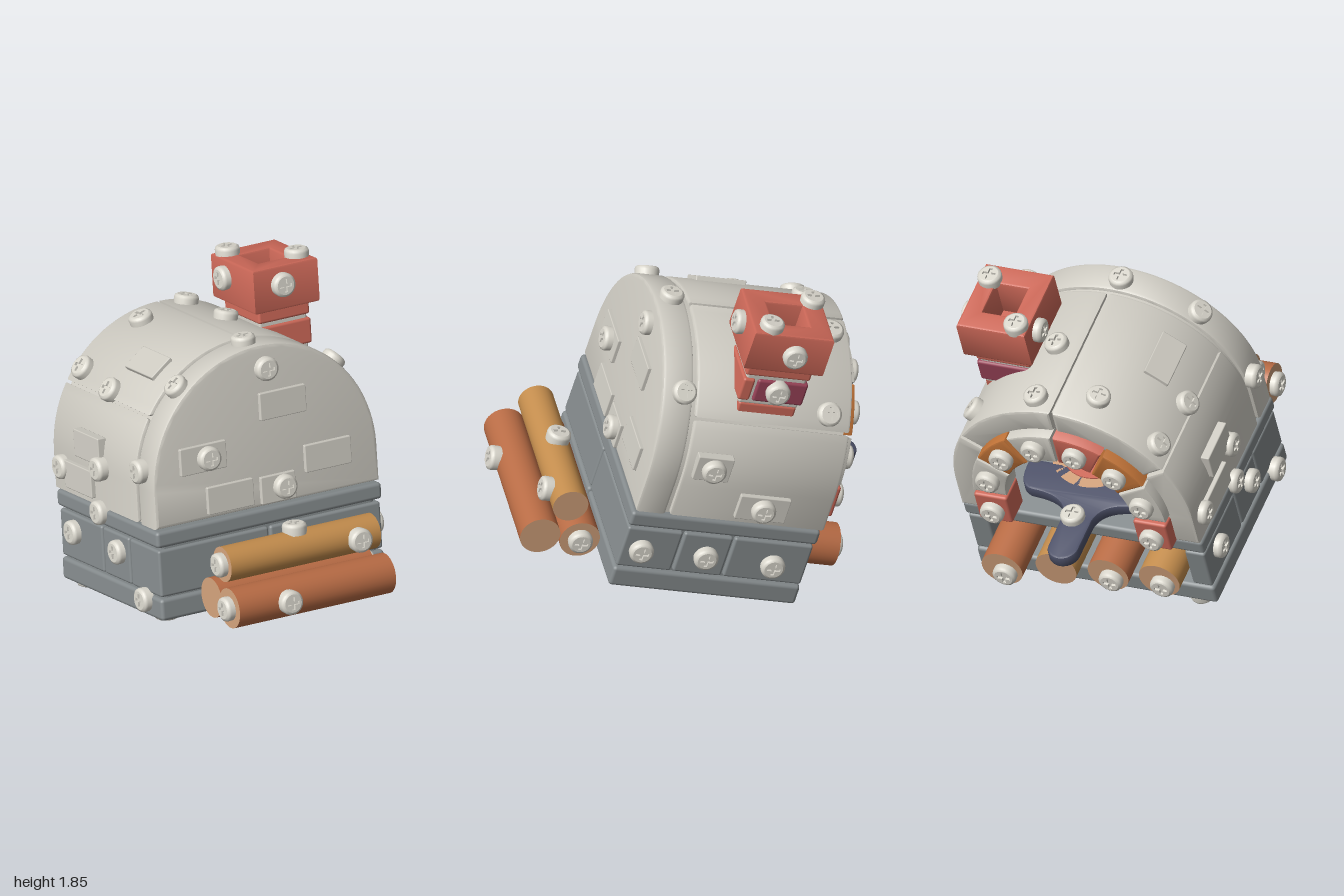
import * as THREE from 'three';
import { toCreasedNormals } from 'three/addons/utils/BufferGeometryUtils.js';
import { RoundedBoxGeometry } from 'three/addons/geometries/RoundedBoxGeometry.js';

const mat = (name, color) => Object.assign(new THREE.MeshStandardMaterial({ color }), { name });
const M = {
  plaster: mat('plaster', 0xcfccc3), bolt: mat('bolt', 0xdad7cd), stone: mat('stone', 0x858b8d),
  red: mat('redBrick', 0xcc6858), maroon: mat('maroonBrick', 0x984257), orange: mat('orangeBrick', 0xc27438),
  golden: mat('goldenBark', 0xc48d4d), bark: mat('redBark', 0xb96c45), wood: mat('cutWood', 0xcf9f79),
  slate: mat('slate', 0x4c5067),
};
const SPRING = 0.7, BASE = 0.5, HALF = Math.PI / 2, DEG = Math.PI / 180;

export function createModel() {
  const model = new THREE.Group();
  model.name = 'brickOven';
  const oven = new THREE.Group();
  oven.name = 'tiltedOven';
  oven.position.y = 0.23;
  oven.rotation.set(-0.28, 0.323, 0);
  model.add(oven);

  const add = (name, geo, material, x = 0, y = 0, z = 0) => {
    const m = new THREE.Mesh(geo, material);
    m.name = name;
    m.position.set(x, y, z);
    oven.add(m);
    return m;
  };
  const box = (name, material, x0, x1, y0, y1, z0, z1, r = 0.014) =>
    add(name, new RoundedBoxGeometry(x1 - x0, y1 - y0, z1 - z0, 2, r), material,
      (x0 + x1) / 2, (y0 + y1) / 2, (z0 + z1) / 2);
  const extrude = (shape, depth, bevel = 0, curveSegments = 16) => toCreasedNormals(new THREE.ExtrudeGeometry(shape, {
    depth: depth - 2 * bevel, curveSegments, bevelEnabled: bevel > 0,
    bevelSize: bevel, bevelOffset: -bevel, bevelThickness: bevel, bevelSegments: 2,
  }).translate(0, 0, bevel), 0.5);

  // Arch outlines: angle 0 is the crown, the ends at +-90 degrees get straight legs
  const arc = (r, a0, a1) => {
    const pts = [], n = Math.max(4, Math.round(Math.abs(a1 - a0) * 14));
    const leg = a => { if (Math.abs(a) > HALF - 0.001) pts.push(new THREE.Vector2(Math.sign(a) * r, BASE)); };
    leg(a0);
    for (let i = 0; i <= n; i++) {
      const a = a0 + (a1 - a0) * i / n;
      pts.push(new THREE.Vector2(r * Math.sin(a), SPRING + r * Math.cos(a)));
    }
    leg(a1);
    return pts;
  };
  const ring = (rIn, rOut, a0, a1) => new THREE.Shape([...arc(rOut, a0, a1), ...arc(rIn, a1, a0)]);

  // Stone base with an open wood store at the back
  for (const s of [-1, 1]) {
    box('floorSlab', M.stone, s > 0 ? 0.004 : -0.68, s > 0 ? 0.68 : -0.004, 0, 0.12, -0.52, 0.52, 0.02);
    box('frontBlock', M.stone, s > 0 ? 0.005 : -0.675, s > 0 ? 0.675 : -0.005, 0.13, 0.385, 0.38, 0.515);
    for (const [z0, z1] of [[-0.515, -0.08], [-0.07, 0.2], [0.21, 0.51]])
      box('sideBlock', M.stone, s > 0 ? 0.56 : -0.675, s > 0 ? 0.675 : -0.56, 0.13, 0.385, z0, z1);
    box('wallCore', M.stone, s * 0.61 - 0.04, s * 0.61 + 0.04, 0.1, 0.42, -0.49, 0.49);
  }
  box('frontCore', M.stone, -0.64, 0.64, 0.1, 0.42, 0.41, 0.495);
  box('hearthSlab', M.stone, -0.685, 0.685, 0.4, 0.49, -0.525, 0.525, 0.02);

  // Vault shell in four segments over a slightly recessed core, closed by a front slab
  add('vaultCore', extrude(ring(0.5, 0.66, -HALF, HALF), 0.86), M.plaster, 0, 0, -0.51);
  const seams = [-HALF, -58 * DEG, 0, 58 * DEG, HALF];
  for (let i = 0; i < 4; i++) {
    const a0 = seams[i] + (i > 0 ? 0.012 : 0), a1 = seams[i + 1] - (i < 3 ? 0.012 : 0);
    add('vaultSegment', extrude(ring(0.52, 0.68, a0, a1), 0.865, 0.015), M.plaster, 0, 0, -0.54);
  }
  add('frontSlab', extrude(new THREE.Shape(arc(0.68, -HALF, HALF)), 0.17, 0.018), M.plaster, 0, 0, 0.345);

  // Brick ring around the mouth
  const brickMats = [M.plaster, M.orange, M.red, M.plaster, M.orange, M.plaster];
  brickMats.forEach((m, i) => {
    const a0 = (-90 + i * 30) * DEG + 0.012, a1 = (-60 + i * 30) * DEG - 0.012;
    add('archBrick', extrude(ring(0.36, 0.55, a0, a1), 0.15, 0.01), m, 0, 0, -0.6);
  });
  for (const s of [-1, 1])
    box('legBrick', M.red, s * 0.455 - 0.095, s * 0.455 + 0.095, 0.495, 0.69, -0.61, -0.45);

  // Chimney: stepped neck, mixed brick course and hollow cap
  const cx = 0.39, cz = -0.06;
  const course = (name, m, hx, hz, y0, y1) => box(name, m, cx - hx, cx + hx, y0, y1, cz - hz, cz + hz);
  course('chimneyFoot', M.red, 0.15, 0.16, 0.98, 1.17);
  course('mortar', M.plaster, 0.145, 0.165, 1.16, 1.36);
  box('chimneyCourse', M.maroon, cx - 0.16, cx + 0.16, 1.19, 1.33, cz - 0.18, cz + 0.1);
  box('chimneyCourseEnd', M.red, cx - 0.16, cx + 0.16, 1.19, 1.33, cz + 0.115, cz + 0.18);
  course('chimneyNeck', M.red, 0.155, 0.18, 1.35, 1.44);
  const square = (Path, hx, hy) => new Path([[-hx, -hy], [hx, -hy], [hx, hy], [-hx, hy]].map(p => new THREE.Vector2(...p)));
  const cap = square(THREE.Shape, 0.195, 0.22);
  cap.holes.push(square(THREE.Path, 0.09, 0.1));
  add('chimneyCap', extrude(cap, 0.24, 0.012).rotateX(-HALF), M.red, cx, 1.42, cz);

  // Logs: a stack before the front wall and a row in the store
  const log = (m, r, len, x, y, z, axis) => {
    const g = new THREE.CylinderGeometry(r, r, len, 32);
    axis === 'x' ? g.rotateZ(HALF) : g.rotateX(HALF);
    add('log', g, [m, M.wood, M.wood], x, y, z);
  };
  log(M.golden, 0.095, 0.91, 0.01, 0.33, 0.78, 'x');
  log(M.bark, 0.108, 0.95, -0.005, 0.122, 0.89, 'x');
  log(M.bark, 0.108, 0.93, 0.005, 0.125, 0.67, 'x');
  const store = [[0.43, M.bark, -0.72], [0.145, M.golden, -0.66], [-0.145, M.bark, -0.64], [-0.43, M.golden, -0.62]];
  for (const [x, m, end] of store) log(m, 0.115, 0.9, x, 0.24, end + 0.45, 'z');

  // Peel with a wide rounded blade and a handle, carrying a flat bread
  const peel = new THREE.Shape();
  peel.moveTo(-0.4, 0.22);
  peel.quadraticCurveTo(-0.41, 0.42, -0.3, 0.42);
  peel.quadraticCurveTo(-0.1, 0.43, -0.085, 0.56);
  peel.lineTo(-0.085, 0.76);
  peel.absarc(0, 0.76, 0.085, Math.PI, 0, true);
  peel.lineTo(0.085, 0.56);
  peel.quadraticCurveTo(0.1, 0.43, 0.3, 0.42);
  peel.quadraticCurveTo(0.41, 0.42, 0.4, 0.22);
  peel.lineTo(-0.4, 0.22);
  add('peel', extrude(peel, 0.07, 0.012).rotateX(-HALF), M.slate, 0, 0.5, 0);
  add('bread', new THREE.CylinderGeometry(0.25, 0.25, 0.06, 40), M.wood, 0.05, 0.54, -0.1);
  add('breadTopping', new THREE.CylinderGeometry(0.19, 0.19, 0.008, 40), M.red, 0.05, 0.573, -0.1);

  // Raised plaster plates
  const plate = (x, y, z, w, h, d, turn = 0) => {
    add('wallPlate', new RoundedBoxGeometry(w, h, d, 1, 0.006), M.plaster, x, y, z).rotation.z = turn;
  };
  for (const [x, y, w] of [[0.118, 1.046, 0.28], [-0.38, 0.84, 0.28], [0.37, 0.71, 0.28], [-0.23, 0.6, 0.28], [0.06, 0.59, 0.21]])
    plate(x, y, 0.515, w, 0.15, 0.04);
  plate(0.68, 0.834, 0.18, 0.05, 0.15, 0.2);
  plate(0.68, 0.61, -0.16, 0.05, 0.15, 0.28);
  plate(-0.68, 0.81, -0.14, 0.05, 0.15, 0.26);
  plate(-0.68, 0.61, -0.25, 0.05, 0.15, 0.28);
  plate(-0.4, 1.25, 0.05, 0.15, 0.04, 0.28, 36 * DEG);

  // Cross-head bolts
  const head = new THREE.LatheGeometry([[0.064, -0.015], [0.066, 0.025], [0.062, 0.038], [0.05, 0.045]]
    .map(p => new THREE.Vector2(...p)), 24);
  const a = 0.009, b = 0.036;
  const face = new THREE.Shape().absarc(0, 0, 0.05, 0, Math.PI * 2);
  face.holes.push(new THREE.Path([[a, a], [a, b], [-a, b], [-a, a], [-b, a], [-b, -a], [-a, -a], [-a, -b],
    [a, -b], [a, -a], [b, -a], [b, a]].map(p => new THREE.Vector2(...p))));
  const faceGeo = extrude(face, 0.015, 0, 12).rotateX(-HALF).translate(0, 0.03, 0);
  const floorGeo = new THREE.CircleGeometry(0.05, 16).rotateX(-HALF).translate(0, 0.031, 0);
  const up = new THREE.Vector3(0, 1, 0);
  const bolt = (x, y, z, nx, ny, nz) => {
    const g = new THREE.Group();
    g.name = 'bolt';
    for (const geo of [head, faceGeo, floorGeo]) g.add(new THREE.Mesh(geo, M.bolt));
    g.position.set(x, y, z);
    g.quaternion.setFromUnitVectors(up, new THREE.Vector3(nx, ny, nz).normalize());
    oven.add(g);
  };
  // front wall and front logs
  for (const [x, y, z] of [[0.03, 1.25, 0.515], [-0.357, 0.84, 0.535], [0.09, 0.596, 0.535], [0.33, 0.33, 0.875], [-0.18, 0.122, 0.998]])
    bolt(x, y, z, 0, 0, 1);
  bolt(0, 0.425, 0.78, 0, 1, 0);
  bolt(-0.445, 0.33, 0.78, -1, 0, 0);
  bolt(-0.48, 0.122, 0.89, -1, 0, 0);
  bolt(0.47, 0.125, 0.67, 1, 0, 0);
  // vault, by angle from the crown
  for (const [deg, z] of [[-17, -0.36], [-41, 0.42], [-54, -0.1], [-3, 0.42], [12, -0.07], [47, 0.4], [50, -0.41], [10, -0.44], [-50, -0.43]]) {
    const s = Math.sin(deg * DEG), c = Math.cos(deg * DEG);
    bolt(0.68 * s, SPRING + 0.68 * c, z, s, c, 0);
  }
  // sides
  for (const [y, z, x] of [[0.834, 0.18, 0.705], [0.61, -0.16, 0.705], [0.25, 0.41, 0.675], [0.25, 0.05, 0.675], [0.24, -0.325, 0.675]])
    bolt(x, y, z, 1, 0, 0);
  for (const [y, z, x] of [[0.636, -0.43, 0.68], [0.72, -0.02, 0.69], [0.8, 0.39, 0.68], [0.47, -0.06, 0.68], [0.29, 0.1, 0.675], [0.29, -0.36, 0.675], [0.09, 0.36, 0.68]])
    bolt(-x, y, z, -1, 0, 0);
  // underside
  for (const [x, z] of [[-0.55, 0.34], [-0.33, -0.1], [-0.56, -0.45], [0.32, -0.1], [0.55, -0.45], [0.55, 0.3], [-0.25, 0.66], [0.2, 0.66]])
    bolt(x, z > 0.5 ? 0.017 : 0, z, 0, -1, 0);
  // mouth ring, stored logs and peel
  for (const s of [-1, 1]) {
    for (const deg of [15, 45, 75]) bolt(s * 0.455 * Math.sin(deg * DEG), SPRING + 0.455 * Math.cos(deg * DEG), -0.6, 0, 0, -1);
    bolt(s * 0.455, 0.58, -0.61, 0, 0, -1);
  }
  for (const i of [0, 2, 3]) bolt(store[i][0] - 0.02, 0.22, store[i][2], 0, 0, -1);
  bolt(0.02, 0.57, -0.56, 0, 1, 0);
  // chimney
  bolt(0.262, 1.66, -0.22, 0, 1, 0);
  bolt(0.519, 1.66, 0.06, 0, 1, 0);
  bolt(0.362, 1.56, 0.16, 0, 0, 1);
  bolt(0.585, 1.54, -0.09, 1, 0, 0);
  bolt(0.55, 1.27, -0.08, 1, 0, 0);
  bolt(0.195, 1.56, -0.14, -1, 0, 0);
  return model;
}
